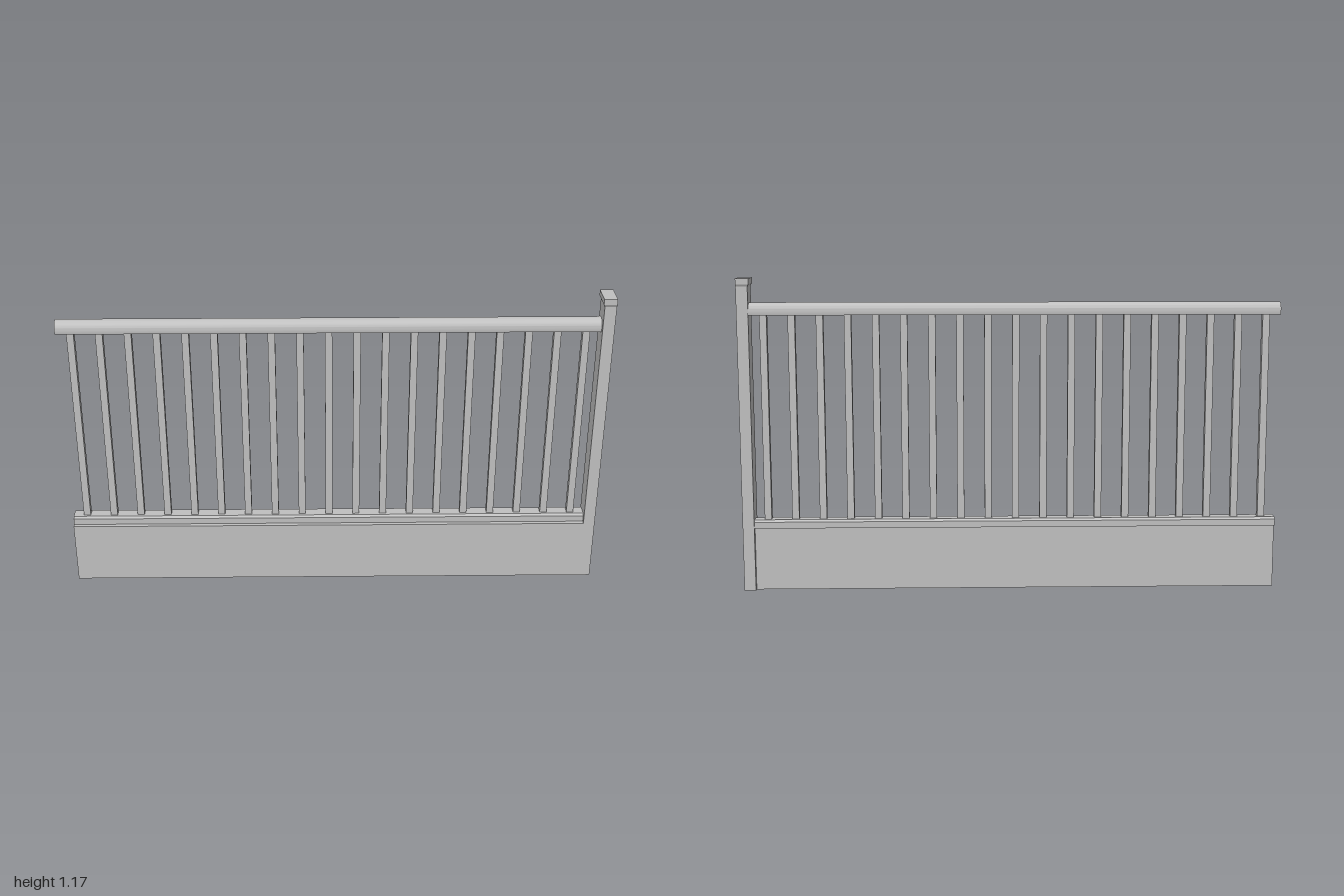
import * as THREE from 'three';
import { toCreasedNormals } from 'three/addons/utils/BufferGeometryUtils.js';

const START = -1, POST_X = 0.957, RAIL_Z = -0.006;

export function createModel() {
  const model = new THREE.Group();
  model.name = 'balustrade';
  const grey = new THREE.MeshStandardMaterial({ color: 0xc0c0c0 });
  grey.name = 'paintedGrey';

  const add = (name, geometry, parent = model) => {
    const mesh = new THREE.Mesh(geometry, grey);
    mesh.name = name;
    parent.add(mesh);
    return mesh;
  };

  // Box given by its minimum and maximum corners
  const box = (name, x0, x1, y0, y1, z0, z1, parent) => {
    const mesh = add(name, new THREE.BoxGeometry(x1 - x0, y1 - y0, z1 - z0), parent);
    mesh.position.set((x0 + x1) / 2, (y0 + y1) / 2, (z0 + z1) / 2);
    return mesh;
  };

  // Symmetric cross-section swept along x
  const sweep = (name, shape, x0, x1, z) => {
    const geometry = new THREE.ExtrudeGeometry(shape, { depth: x1 - x0, bevelEnabled: false, curveSegments: 20 });
    geometry.rotateY(Math.PI / 2);
    geometry.translate(x0, 0, z);
    return add(name, toCreasedNormals(geometry, 0.5));
  };

  // Base board, flush with the front of the post
  box('baseBoard', START, POST_X, 0, 0.238, -0.021, 0.04);

  // Bottom rail with chamfered top edges
  const shoe = new THREE.Shape([
    [-0.03, 0.238], [0.03, 0.238], [0.03, 0.262], [0.022, 0.27], [-0.022, 0.27], [-0.03, 0.262],
  ].map(([x, y]) => new THREE.Vector2(x, y)));
  sweep('bottomRail', shoe, START, POST_X, RAIL_Z);

  // Handrail with a rounded top
  const hand = new THREE.Shape();
  hand.moveTo(-0.027, 1.035);
  hand.lineTo(0.027, 1.035);
  hand.lineTo(0.03, 1.052);
  hand.absellipse(0, 1.052, 0.03, 0.029, 0, Math.PI, false, 0);
  hand.closePath();
  sweep('handrail', hand, START, POST_X, RAIL_Z);

  // Evenly spaced balusters
  const balusters = new THREE.Group();
  balusters.name = 'balusters';
  model.add(balusters);
  for (let i = 0; i < 19; i++) {
    const x = -0.949 + i * 0.1031;
    box('baluster', x - 0.013, x + 0.013, 0.268, 1.037, RAIL_Z - 0.013, RAIL_Z + 0.013, balusters);
  }

  // End post
  box('post', POST_X, 1, 0, 1.15, -0.04, 0.04);

  // Post cap, flush with the outer side and sloped underneath on the others
  const cap = new THREE.BoxGeometry(1 - 0.952, 0.03, 0.09, 1, 2, 1);
  cap.translate((1 + 0.952) / 2, 1.155, 0);
  const p = cap.attributes.position;
  for (let i = 0; i < p.count; i++) {
    const y = p.getY(i);
    if (y < 1.15) {
      p.setZ(i, Math.sign(p.getZ(i)) * 0.04);
      if (p.getX(i) < 0.96) p.setX(i, POST_X);
    } else if (y < 1.16) p.setY(i, 1.149);
  }
  add('postCap', toCreasedNormals(cap, 0.3));

  return model;
}
